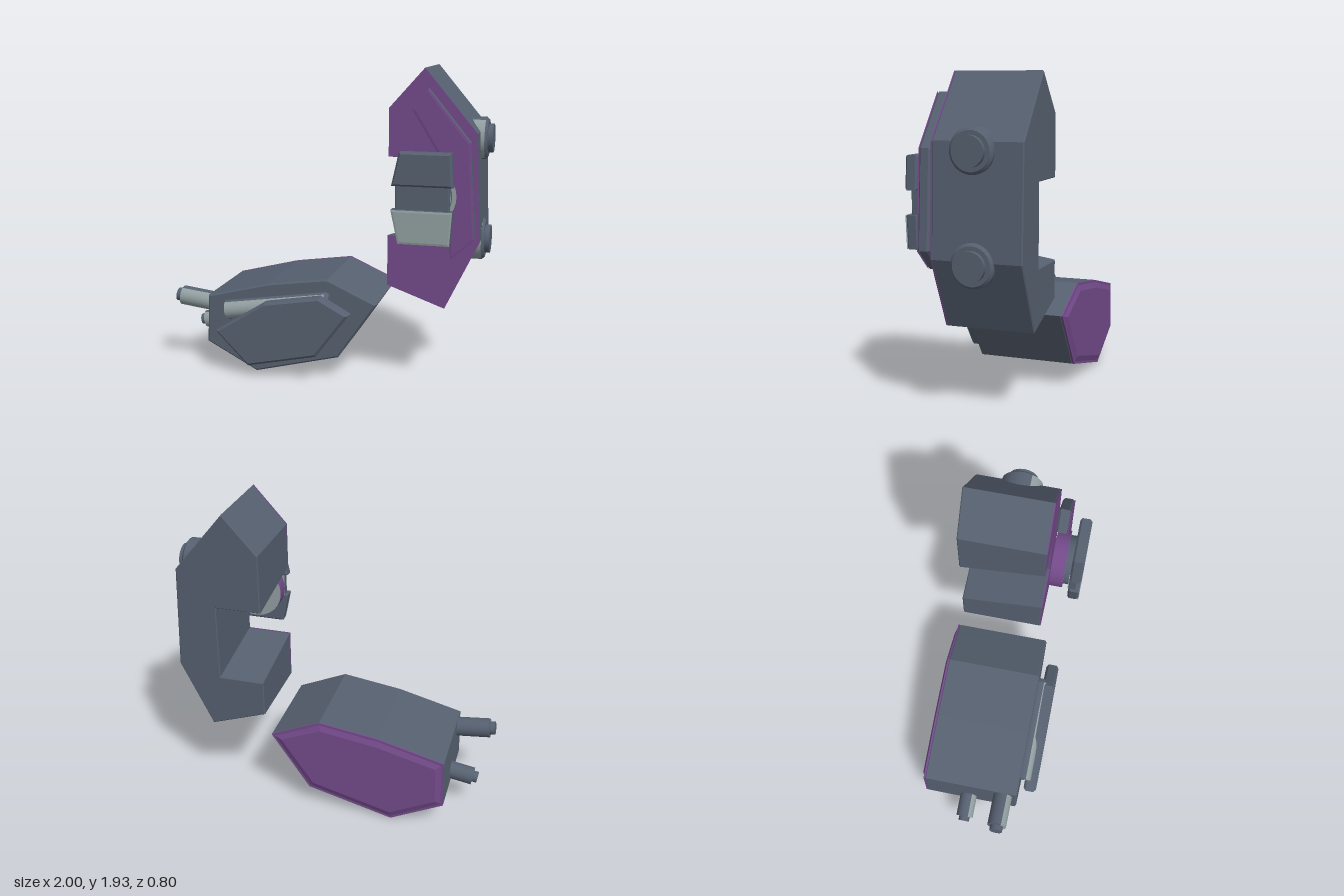
import * as THREE from 'three';

const mat = (name, hex) => {
  const m = new THREE.MeshStandardMaterial({ color: hex });
  m.name = name;
  return m;
};

export function createModel() {
  const steel = mat('darkSteel', 0x566070);
  const purple = mat('purplePaint', 0x734a8a);
  const light = mat('lightSteel', 0x929fa1);
  const root = new THREE.Group();

  const group = (name) => {
    const g = new THREE.Group();
    g.name = name;
    root.add(g);
    return g;
  };
  const add = (parent, name, geo, material) => {
    const m = new THREE.Mesh(geo, material);
    m.name = name;
    parent.add(m);
    return m;
  };

  // Outline in x,y extruded from z0 to z1, with bevelled rims
  const slab = (points, z0, z1, bevel = 0.01, inset = bevel) => {
    const shape = new THREE.Shape(points.map(([x, y]) => new THREE.Vector2(x, y)));
    const geo = new THREE.ExtrudeGeometry(shape, {
      depth: z1 - z0 - 2 * bevel, bevelEnabled: bevel > 0, bevelThickness: bevel,
      bevelSize: inset, bevelOffset: -inset, bevelSegments: 1,
    });
    return geo.translate(0, 0, z0 + bevel);
  };

  // Round bar between two points; the sector facing +z is light
  const rod = (parent, name, a, b, r, frontMat = light, r2 = r) => {
    const from = new THREE.Vector3(...a), to = new THREE.Vector3(...b);
    const dir = to.clone().sub(from), w = 1.1;
    const g = new THREE.Group();
    g.name = name;
    g.position.copy(from).addScaledVector(dir, 0.5);
    g.rotation.z = Math.atan2(dir.y, dir.x) - Math.PI / 2;
    const sector = (start, length, seg) =>
      new THREE.CylinderGeometry(r2, r, dir.length(), seg, 1, false, start, length);
    add(g, name + 'Front', sector(-w, 2 * w, 12), frontMat);
    add(g, name + 'Back', sector(w, 2 * Math.PI - 2 * w, 20), steel);
    parent.add(g);
  };

  // Low pod with twin barrels
  const pod = group('lowerPod');
  const podOutline = [[-0.75, 0.48], [-0.43, 0], [-0.34, 0.585], [0.04, 0.64], [0.353, 0.5], [0.11, 0.14], [-0.76, 0.17]];
  const ring = [0, 6, 1, 5, 4, 3, 2].map((i) => podOutline[i]);
  add(pod, 'podBody', slab(ring, -0.38, 0.24), steel);
  add(pod, 'podBackPanel', slab(ring, -0.4, -0.355, 0.02, 0.05), purple);
  add(pod, 'podBackRim', slab(ring, -0.386, -0.378, 0), purple);
  add(pod, 'podFrontPlate', slab([
    [-0.663, 0.285], [-0.45, 0.07], [-0.005, 0.17], [0.203, 0.45], [0.016, 0.55], [-0.337, 0.49],
  ], 0.27, 0.355, 0.015), steel);
  rod(pod, 'podFrontBar', [-0.615, 0.4, 0.25], [0.04, 0.502, 0.25], 0.06);
  rod(pod, 'podBarTip', [0.04, 0.502, 0.25], [0.065, 0.506, 0.25], 0.06, steel, 0.045);
  rod(pod, 'upperBarrel', [-0.7, 0.41, 0.148], [-0.962, 0.44, 0.148], 0.062);
  rod(pod, 'upperMuzzle', [-0.95, 0.439, 0.148], [-0.996, 0.444, 0.148], 0.042, steel);
  rod(pod, 'lowerBarrel', [-0.7, 0.243, -0.088], [-0.9, 0.21, -0.088], 0.056);
  rod(pod, 'lowerMuzzle', [-0.89, 0.212, -0.088], [-0.93, 0.205, -0.088], 0.036, steel);

  // Upright bracket; its notch slants upward toward the front
  const bracket = group('uprightBracket');
  const bracketOutline = (lift) => [
    [0.406, 1.7], [0.406, 1.33 + lift], [0.69, 1.33 + lift], [0.69, 0.85 + lift], [0.406, 0.85 + lift],
    [0.406, 0.62], [0.76, 0.495], [0.957, 0.91], [0.93, 1.56], [0.615, 1.935],
  ];
  const bodyGeo = slab(bracketOutline(0), -0.355, 0.176, 0.006);
  const p = bodyGeo.attributes.position;
  for (let i = 0; i < p.count; i++) {
    const y = p.getY(i);
    if (p.getX(i) < 0.72 && y > 0.8 && y < 1.4) p.setY(i, y + 0.08 * (p.getZ(i) + 0.355) / 0.531);
  }
  bodyGeo.computeVertexNormals();
  add(bracket, 'bracketBody', bodyGeo, steel);
  add(bracket, 'bracketFrontPaint', slab(bracketOutline(0.08), 0.174, 0.181, 0), purple);

  // Raised band with a painted face
  const band = [
    [0.56, 1.7], [0.705, 1.465], [0.77, 1.36], [0.8, 0.825], [0.94, 0.95], [0.9, 1.515], [0.65, 1.82],
  ];
  add(bracket, 'bandBody', slab(band, 0.2, 0.27, 0.012), steel);
  add(bracket, 'bandPaint', slab(band, 0.266, 0.274, 0.003, 0.014), purple);

  // Side bolts
  for (const y of [1.51, 0.89]) {
    rod(bracket, 'boltFlange', [0.84, y, -0.065], [0.955, y, -0.065], 0.128);
    rod(bracket, 'boltChamfer', [0.955, y, -0.065], [0.97, y, -0.065], 0.128, steel, 0.112);
    rod(bracket, 'boltCap', [0.96, y, -0.065], [1.0, y, -0.065], 0.087, steel);
  }

  // Round hub and two-jaw clasp
  const clasp = group('frontClasp');
  const hub = (name, r, z0, z1, side) => {
    const geo = new THREE.CylinderGeometry(r, r, z1 - z0, 32).rotateX(Math.PI / 2);
    add(clasp, name, geo, [side, light, light]).position.set(0.65, 1.2, (z0 + z1) / 2);
  };
  hub('hubBase', 0.18, 0.2, 0.285, purple);
  hub('hubDisc', 0.155, 0.285, 0.325, steel);
  add(clasp, 'claspBridge', slab([[0.485, 1.1], [0.8, 1.1], [0.8, 1.3], [0.485, 1.3]], 0.325, 0.37, 0.004), steel);
  add(clasp, 'claspBridgeBack', slab([[0.485, 1.13], [0.8, 1.13], [0.8, 1.27], [0.485, 1.27]], 0.32, 0.326, 0), light);
  const jaw = (sign) => [
    [0.465, 1.2 + sign * 0.07], [0.823, 1.2 + sign * 0.07], [0.81, 1.2 + sign * 0.268], [0.508, 1.2 + sign * 0.268],
  ];
  add(clasp, 'upperJaw', slab(jaw(1), 0.325, 0.4, 0.012), steel);
  add(clasp, 'lowerJaw', slab(jaw(-1), 0.325, 0.398, 0.012), steel);
  add(clasp, 'lowerJawFace', slab(jaw(-1), 0.394, 0.401, 0.003, 0.012), light);

  return root;
}
